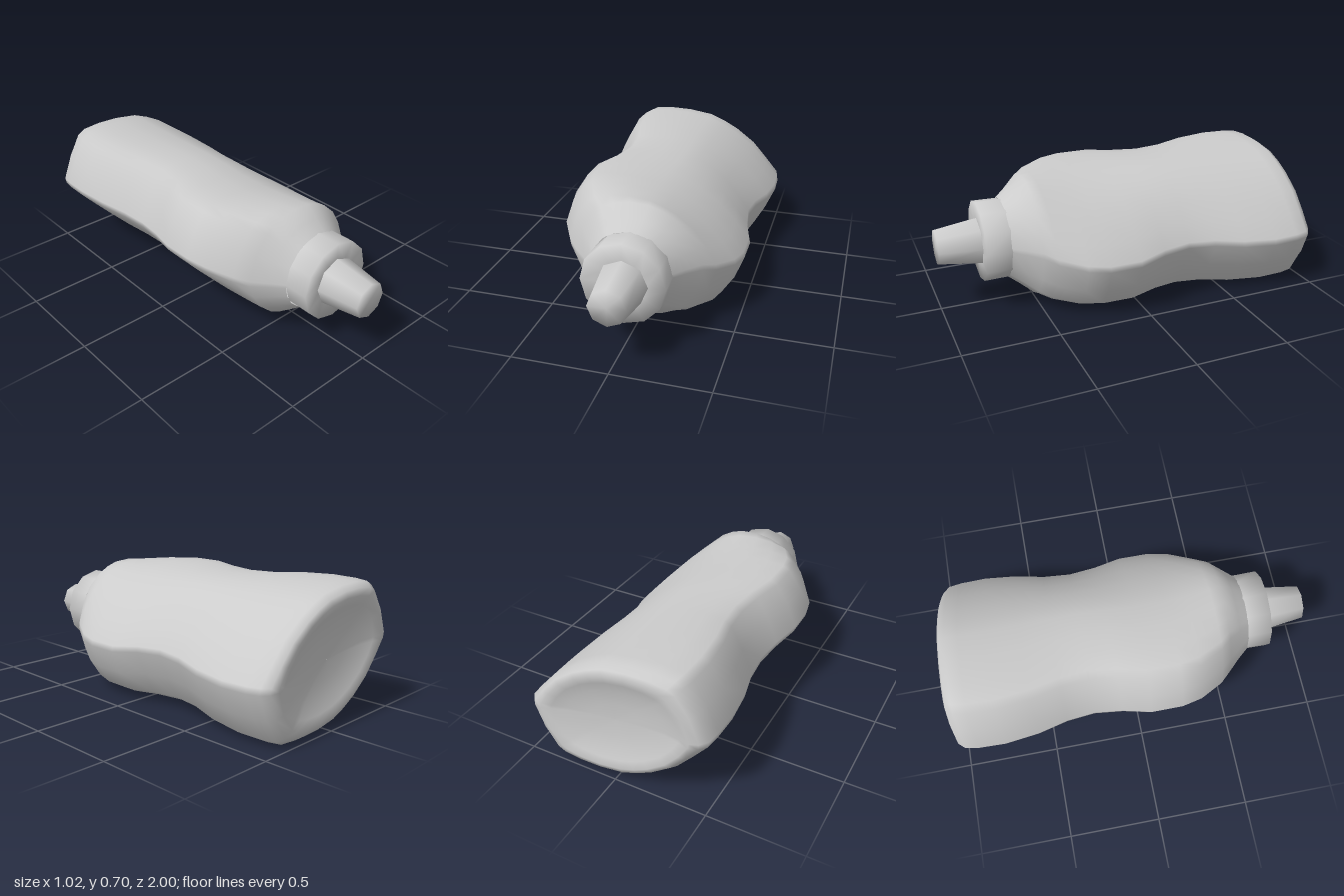
import * as THREE from 'three';

const material = new THREE.MeshStandardMaterial({ color: 0xcccccc, side: THREE.DoubleSide });
const TILT = THREE.MathUtils.degToRad(-20.5);

// Half of the body's cross-section, in units of half width and half thickness;
// a half turn gives the other half
const HALF = [
  [1, 0.36], [0.965, 0.45], [0.75, 0.63], [0.515, 0.82], [0.245, 0.94], [0.04, 0.985],
  [-0.16, 0.995], [-0.44, 0.905], [-0.685, 0.78], [-0.88, 0.64], [-0.945, 0.52], [-0.985, 0.1],
];
const SECTION = [...HALF, ...HALF.map(([u, v]) => [-u, -v])];

// Stations along the bottle: z, half width, half thickness, roundness
const STATIONS = [
  [-0.955, 0.001, 0.001, 1], [-0.957, 0.15, 0.09, 1], [-0.968, 0.29, 0.17, 0.9],
  [-0.985, 0.37, 0.225, 0.7], [-0.998, 0.42, 0.265, 0.5], [-0.985, 0.46, 0.295, 0.25],
  [-0.95, 0.485, 0.316, 0.05], [-0.88, 0.497, 0.315, 0], [-0.74, 0.503, 0.312, 0],
  [-0.56, 0.478, 0.31, 0], [-0.4, 0.432, 0.308, 0], [-0.25, 0.415, 0.307, 0],
  [-0.1, 0.437, 0.302, 0], [0.05, 0.487, 0.294, 0.15], [0.22, 0.489, 0.292, 0.2],
  [0.33, 0.463, 0.296, 0.3], [0.46, 0.388, 0.304, 0.5], [0.52, 0.33, 0.31, 0.8],
  [0.59, 0.265, 0.257, 1], [0.65, 0.213, 0.211, 1],
];

function bodyGeometry() {
  const n = SECTION.length;
  const positions = [], indices = [];
  STATIONS.forEach(([z, w, t, round], i) => {
    const cy = THREE.MathUtils.mapLinear(z, -1, 0.65, 0.349, 0.359);
    SECTION.forEach(([su, sv], j) => {
      const a = Math.atan2(sv, su);
      const u = w * THREE.MathUtils.lerp(su, Math.cos(a), round);
      const v = t * THREE.MathUtils.lerp(sv, Math.sin(a), round);
      positions.push(
        u * Math.cos(TILT) - v * Math.sin(TILT),
        cy + u * Math.sin(TILT) + v * Math.cos(TILT), z);
      if (i < STATIONS.length - 1) {
        const p = i * n + j, q = i * n + (j + 1) % n;
        indices.push(p, q, q + n, p, q + n, p + n);
      }
    });
  });
  const geometry = new THREE.BufferGeometry();
  geometry.setAttribute('position', new THREE.Float32BufferAttribute(positions, 3));
  geometry.setIndex(indices);
  geometry.computeVertexNormals();
  return geometry;
}

// Turned part along +z, from pairs of radius and z
function turned(name, profile, sides) {
  const points = profile.map(([r, z]) => new THREE.Vector2(r, z));
  const mesh = new THREE.Mesh(new THREE.LatheGeometry(points, sides), material);
  mesh.name = name;
  mesh.rotation.x = Math.PI / 2;
  mesh.position.set(0.003, 0.36, 0);
  return mesh;
}

export function createModel() {
  const group = new THREE.Group();
  group.name = 'squeezeBottle';

  // Waisted oval body with a hollow base and sloping shoulders
  const body = new THREE.Mesh(bodyGeometry(), material);
  body.name = 'body';
  group.add(body);

  // Collar and tapered nozzle
  group.add(turned('collar', [[0.213, 0.645], [0.215, 0.78], [0.115, 0.78]], 12));
  group.add(turned('nozzle', [[0.128, 0.78], [0.096, 1], [0, 1]], 8));
  return group;
}
